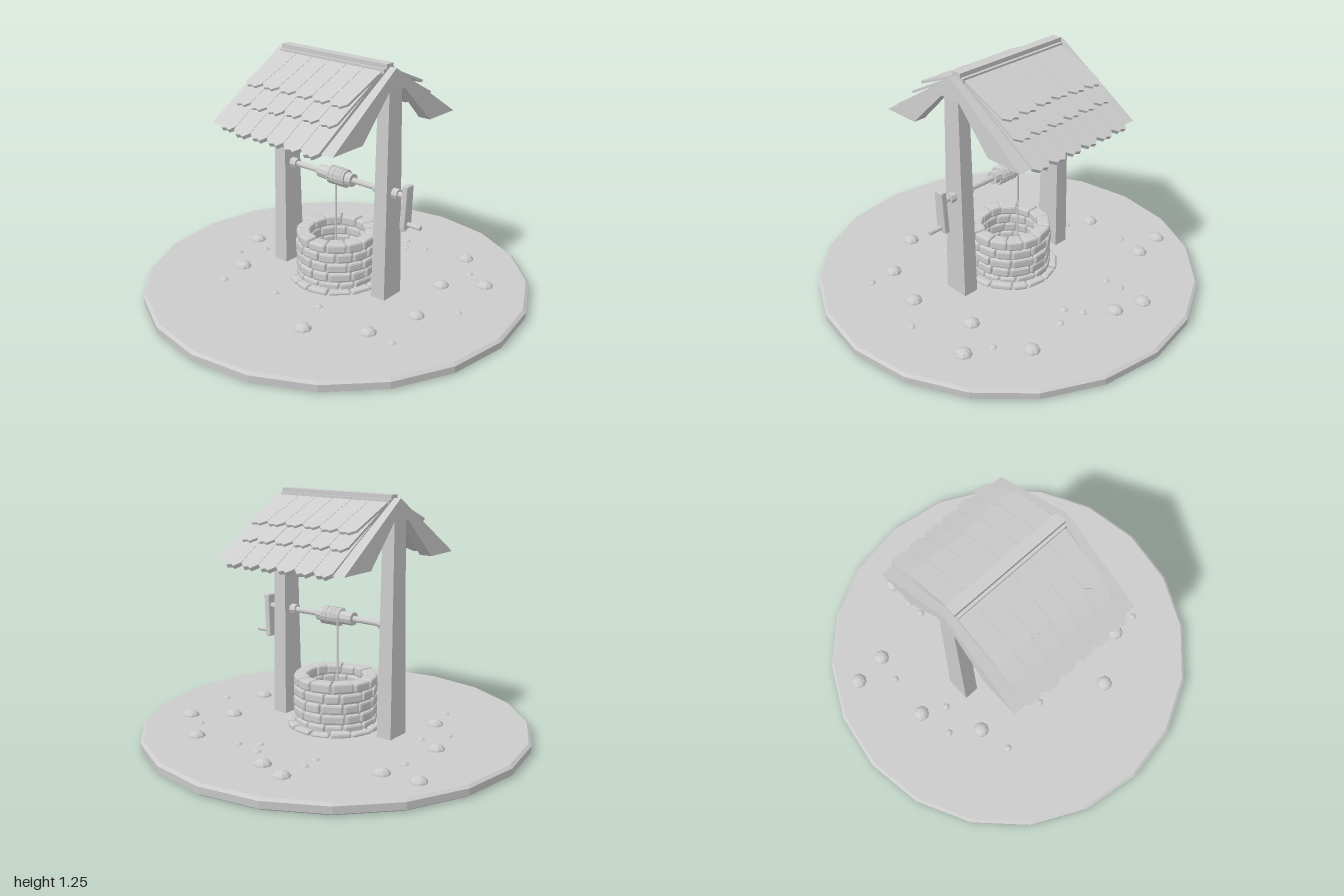
import * as THREE from 'three';
import { RoundedBoxGeometry } from 'three/addons/geometries/RoundedBoxGeometry.js';

const material = new THREE.MeshStandardMaterial({ color: 0xcccccc, flatShading: true, side: THREE.DoubleSide });

let seed = 7;
const rand = () => (seed = (seed * 16807) % 2147483647) / 2147483647;
const jitter = (a) => (rand() - 0.5) * 2 * a;

function add(parent, name, geometry, x = 0, y = 0, z = 0) {
  const mesh = new THREE.Mesh(geometry, material);
  mesh.name = name;
  mesh.position.set(x, y, z);
  parent.add(mesh);
  return mesh;
}

function group(parent, name) {
  const g = new THREE.Group();
  g.name = name;
  parent.add(g);
  return g;
}

// Move every vertex of a geometry by a rule
function warp(geometry, rule) {
  const p = geometry.attributes.position;
  const v = new THREE.Vector3();
  for (let i = 0; i < p.count; i++) {
    rule(v.fromBufferAttribute(p, i));
    p.setXYZ(i, v.x, v.y, v.z);
  }
  geometry.computeVertexNormals();
  return geometry;
}

// Cylinder lying along x between two ends
function rod(parent, name, x0, x1, radius, y, sides = 10) {
  const geometry = new THREE.CylinderGeometry(radius, radius, x1 - x0, sides).rotateZ(Math.PI / 2);
  return add(parent, name, geometry, (x0 + x1) / 2, y, 0);
}

// Ring of rounded blocks bent around the well axis
function stoneRing(parent, name, count, rIn, rOut, y0, height, uneven) {
  const ring = group(parent, name);
  const R = (rIn + rOut) / 2;
  const widths = Array.from({ length: count }, () => 1 + jitter(0.22));
  const total = widths.reduce((a, b) => a + b, 0);
  let angle = rand() * Math.PI;
  for (const w of widths) {
    const span = (w / total) * Math.PI * 2;
    const h = height - 0.003 + jitter(uneven);
    const depth = rOut - rIn + jitter(0.006);
    const middle = angle + span / 2;
    const block = new RoundedBoxGeometry(span * rOut - 0.006, h, depth, 1, 0.011);
    warp(block, (v) => {
      const a = middle + v.x / rOut;
      const r = R + v.z;
      v.set(Math.sin(a) * r, v.y, Math.cos(a) * r);
    });
    add(ring, 'stone', block, 0, y0 + h / 2, 0);
    angle += span;
  }
}

function buildWell(root) {
  const well = group(root, 'well');
  well.position.set(-0.003, 0, -0.01);
  // Mortar core behind the stones
  const core = [[0.153, 0.05], [0.2, 0.05], [0.2, 0.312], [0.153, 0.312], [0.153, 0.05]];
  add(well, 'mortar', new THREE.LatheGeometry(core.map((p) => new THREE.Vector2(...p)), 24));
  for (let i = 0; i < 5; i++) {
    stoneRing(well, 'stoneCourse', 13, 0.143, 0.215, 0.06 + i * 0.0535, 0.0535, i === 4 ? 0.006 : 0.001);
  }
  stoneRing(well, 'footing', 15, 0.18, 0.25, 0.055, 0.032, 0.006);
}

// Row of shingles with a wavy lower edge, from (z0, y0) down to (z1, y1)
function shingleRow(parent, z0, y0, z1, y1, thickness) {
  const left = -0.335, width = 0.107, count = 6;
  const length = Math.hypot(z1 - z0, y1 - y0);
  const row = group(parent, 'shingleRow');
  for (let i = 0; i < count; i++) {
    const a = left + i * width + 0.001;
    const b = a + width - 0.002;
    const drop = -length + 0.012 + jitter(0.008);
    const shape = new THREE.Shape([
      [a, 0], [a, drop + 0.022], [a + width * 0.3, drop - 0.004], [a + width * 0.52, drop + 0.004],
      [a + width * 0.72, drop - 0.006], [b, drop + 0.024], [b, 0],
    ].map((p) => new THREE.Vector2(...p)));
    const geometry = new THREE.ExtrudeGeometry(shape, { depth: thickness, bevelEnabled: false });
    add(row, 'shingle', geometry.translate(0, 0, -thickness));
  }
  row.position.set(0, y0, z0);
  row.rotation.x = -Math.atan2(z1 - z0, y0 - y1);
}

function buildRoof(root) {
  const roof = group(root, 'roof');
  // Gable rafters, wider towards the eaves
  const half = [[0, 1.235], [0.465, 0.93], [0.26, 0.93], [0.06, 1.13]];
  const outline = [...half, ...half.slice(1).reverse().map(([z, y]) => [-z, y])];
  for (const x of [-0.358, 0.343]) {
    const shape = new THREE.Shape(outline.map(([z, y]) => new THREE.Vector2(z, y)));
    const geometry = new THREE.ExtrudeGeometry(shape, { depth: 2, bevelEnabled: false });
    geometry.translate(0, 0, -1).rotateY(-Math.PI / 2);
    warp(geometry, (v) => { v.x *= 0.018 + ((1.235 - v.y) / 0.305) * 0.015; });
    add(roof, 'rafter', geometry, x);
  }
  // Three overlapping shingle rows on each slope
  for (const turn of [0, Math.PI]) {
    const slope = group(roof, 'roofSlope');
    slope.rotation.y = turn;
    slope.position.x = turn ? -0.024 : 0;
    shingleRow(slope, 0, 1.232, 0.5, 0.92, 0.02);
    shingleRow(slope, 0.02, 1.222, 0.39, 1.022, 0.012);
    shingleRow(slope, 0.02, 1.226, 0.315, 1.1, 0.012);
  }
  add(roof, 'ridgeBase', new THREE.BoxGeometry(0.655, 0.022, 0.08), -0.008, 1.217, 0);
  add(roof, 'ridgeBoard', new THREE.BoxGeometry(0.665, 0.025, 0.05), -0.008, 1.2375, 0);
}

function buildWinch(root) {
  const winch = group(root, 'winch');
  const y = 0.62;
  rod(winch, 'axle', -0.32, 0.44, 0.015, y);
  rod(winch, 'drum', -0.11, 0.11, 0.034, y);
  for (const [x0, x1] of [[-0.305, -0.265], [0.255, 0.295], [0.355, 0.395]]) {
    rod(winch, 'collar', x0, x1, 0.027, y, 8);
  }
  // Rope wound on the drum and hanging into the shaft
  const turns = 7;
  const points = Array.from({ length: turns * 12 + 1 }, (_, i) => {
    const a = (i / 12) * Math.PI * 2;
    return new THREE.Vector3(-0.035 + (0.11 * i) / (turns * 12), y + Math.sin(a) * 0.039, -Math.cos(a) * 0.039);
  });
  const coil = new THREE.CatmullRomCurve3(points);
  add(winch, 'ropeCoil', new THREE.TubeGeometry(coil, turns * 14, 0.0095, 6));
  add(winch, 'rope', new THREE.CylinderGeometry(0.005, 0.005, 0.5, 6), -0.035, 0.37, -0.037);
  // Crank
  const arm = new RoundedBoxGeometry(0.03, 0.225, 0.062, 1, 0.005);
  warp(arm, (v) => {
    v.x += v.y * 0.05;
    v.z *= 0.92 - v.y * 0.6;
  });
  add(winch, 'crankArm', arm, 0.44, 0.568, 0);
  rod(winch, 'crankHandle', 0.44, 0.525, 0.012, 0.48, 8);
}

function buildPebbles(root) {
  const pebbles = group(root, 'pebbles');
  const large = [[-0.24, -0.72], [-0.085, -0.67], [-0.755, -0.41], [-0.575, -0.43], [-0.62, -0.035], [0.42, -0.59],
    [0.665, -0.39], [0.49, -0.25], [0.575, 0.085], [0.495, 0.355], [0.24, 0.525], [-0.44, 0.255]];
  const small = [[-0.25, -0.57], [0.04, -0.57], [0.18, -0.55], [0.09, -0.49], [0.535, -0.45], [-0.6, -0.28],
    [-0.495, 0.03], [-0.58, 0.15], [0.715, -0.07], [0.635, 0.355], [-0.4, 0.43], [-0.24, -0.48], [-0.1, 0.36], [0.16, 0.32]];
  const place = (list, r, h) => list.forEach(([x, z]) => {
    const dome = new THREE.SphereGeometry(1, 8, 4, 0, Math.PI * 2, 0, Math.PI / 2);
    add(pebbles, 'pebble', dome, x, 0.058, z).scale.set(r, h, r);
  });
  place(large, 0.044, 0.033);
  place(small, 0.021, 0.015);
}

export function createModel() {
  const root = new THREE.Group();
  root.name = 'wishingWell';

  // Ground disc with a slight bevel
  const rim = [[0, 0.005], [0.985, 0.005], [0.998, 0.014], [1, 0.05], [0.985, 0.062], [0, 0.062]];
  add(root, 'ground', new THREE.LatheGeometry(rim.map((p) => new THREE.Vector2(...p)), 20));

  // Tapered posts
  for (const x of [-0.341, 0.326]) {
    const post = new THREE.BoxGeometry(1, 1.12, 1);
    warp(post, (v) => {
      v.x *= v.y > 0 ? 0.066 : 0.082;
      v.z *= v.y > 0 ? 0.094 : 0.136;
    });
    add(root, 'post', post, x, 0.61, 0);
  }

  buildWell(root);
  buildRoof(root);
  buildWinch(root);
  buildPebbles(root);
  return root;
}
